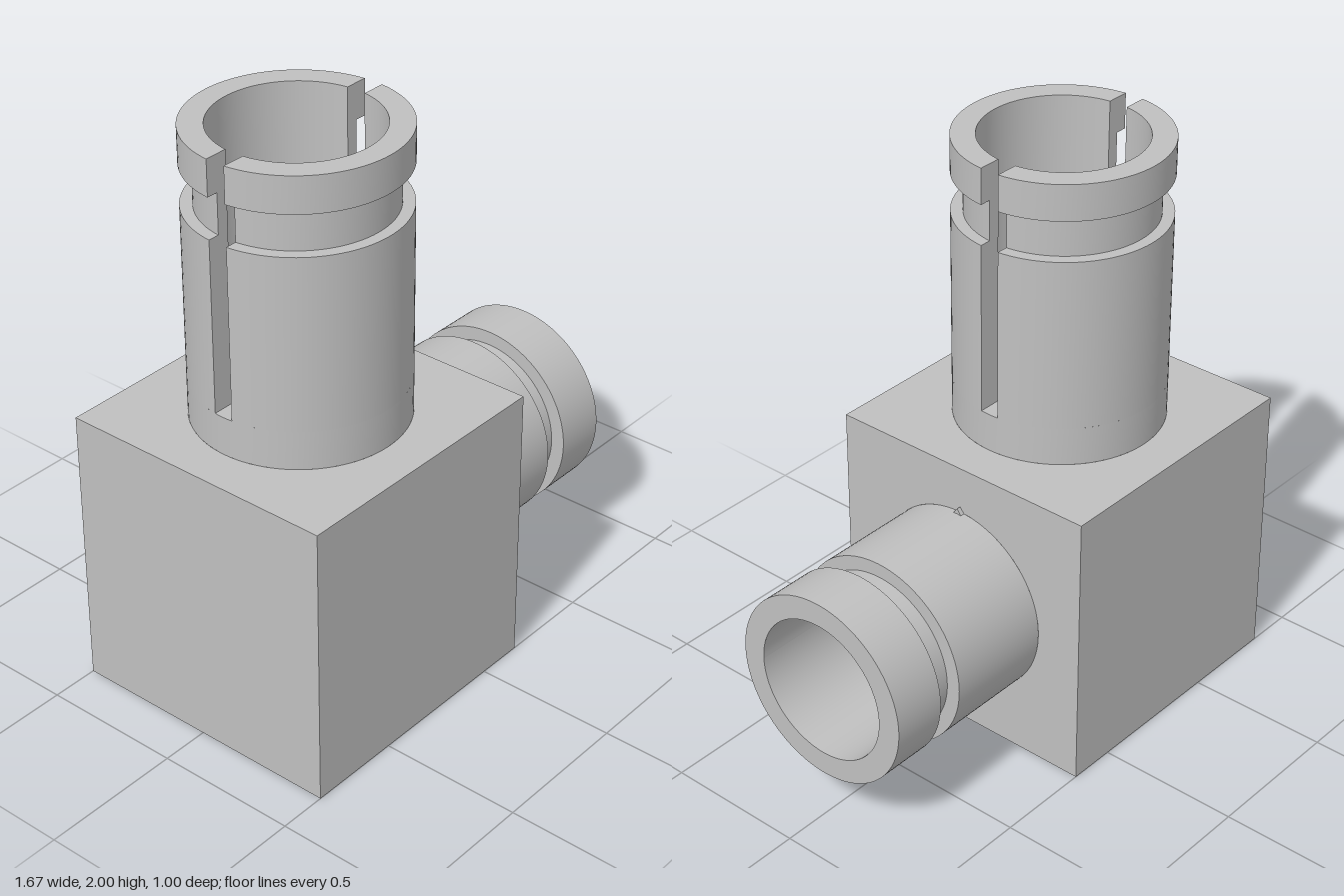
import * as THREE from 'three';
import { mergeGeometries } from 'three/addons/utils/BufferGeometryUtils.js';

const CX = -0.333;          // axis of the upright tube and centre of the block
const R = 0.356, BORE = 0.275;      // upright tube
const R2 = 0.333, BORE2 = 0.25;     // side tube
const SLOT = 0.034, SLOT_Y = 1.135; // half width and floor of the slot
const MID = 0.5, BORE_END = -0.35;  // where the two bores stop
const { PI, sqrt, sin, cos, asin, abs, max } = Math;

const steel = new THREE.MeshStandardMaterial({ color: 0xc0c0c0, side: THREE.DoubleSide });
steel.name = 'steel grey';

// Surface ruled between two curves; f(t) returns a point on each
function strip(n, f) {
  const pos = [], idx = [];
  for (let i = 0; i <= n; i++) {
    const [p, q] = f(i / n);
    pos.push(...p, ...q);
    const a = 2 * i;
    if (i < n) idx.push(a, a + 1, a + 2, a + 1, a + 3, a + 2);
  }
  const g = new THREE.BufferGeometry();
  g.setAttribute('position', new THREE.Float32BufferAttribute(pos, 3));
  g.setIndex(idx);
  g.computeVertexNormals();
  return g;
}

const polar = (r, y, a) => [r * cos(a), y, r * sin(a)];

// Turned profile of [radius, y] points with crisp edges; w cuts it to the half beyond z = w
function turned(profile, w = 0, full = true) {
  return profile.slice(1).map((q, i) => {
    const p = profile[i];
    const angle = (r, t) => full ? 2 * PI * t : asin(w / r) + t * (PI - 2 * asin(w / r));
    return strip(full ? 96 : 48, t => [polar(...p, angle(p[0], t)), polar(...q, angle(q[0], t))]);
  });
}

function part(name, geometries) {
  geometries.forEach(g => g.deleteAttribute('uv'));
  const mesh = new THREE.Mesh(mergeGeometries(geometries), steel);
  mesh.name = name;
  return mesh;
}

function squareWithHole(r) {
  const s = new THREE.Shape([[-0.5, -0.5], [0.5, -0.5], [0.5, 0.5], [-0.5, 0.5]]
    .map(p => new THREE.Vector2(...p)));
  s.holes.push(new THREE.Path().absarc(0, 0, r, 0, 2 * PI, true));
  return new THREE.ShapeGeometry(s, 96);
}

function makeBlock() {
  const faces = [
    squareWithHole(R).rotateX(-PI / 2).translate(0, 0.5, 0),
    squareWithHole(R2).rotateY(PI / 2).translate(0.5, 0, 0),
    new THREE.PlaneGeometry(1, 1).rotateX(PI / 2).translate(0, -0.5, 0),
    new THREE.PlaneGeometry(1, 1).rotateY(-PI / 2).translate(-0.5, 0, 0),
    new THREE.PlaneGeometry(1, 1).translate(0, 0, 0.5),
    new THREE.PlaneGeometry(1, 1).rotateY(PI).translate(0, 0, -0.5),
  ];
  const block = part('block', faces);
  block.position.set(CX, 0.5, 0);
  return block;
}

function makeUprightTube() {
  const g = new THREE.Group();
  g.name = 'uprightTube';
  g.position.x = CX;
  g.add(part('tubeBase', turned([[R, 1], [R, SLOT_Y]])));

  // Half collar with the snap groove, closed by flat slot walls
  const profile = [[R, SLOT_Y], [R, 1.735], [0.316, 1.735], [0.316, 1.875],
    [R, 1.875], [R, 2], [BORE, 2], [BORE, SLOT_Y]];
  const half = turned(profile, SLOT, false);
  for (const side of [-1, 1]) {
    const wall = new THREE.Shape(profile.map(([r, y]) =>
      new THREE.Vector2(side * sqrt(r * r - SLOT * SLOT), y)));
    half.push(new THREE.ShapeGeometry(wall).rotateY(PI).translate(0, 0, SLOT));
  }
  // Floor of one slot
  half.push(strip(6, t => {
    const z = SLOT * (2 * t - 1);
    return [R, BORE].map(r => [sqrt(r * r - z * z), SLOT_Y, z]);
  }));
  const front = part('frontCollarHalf', half);
  const back = front.clone();
  back.name = 'backCollarHalf';
  back.rotation.y = PI;
  g.add(front, back);

  // Bore wall, cut away where the side bore enters
  const a = asin(BORE2 / BORE);
  const boreWall = (from, to, open) => strip(96, t => {
    const angle = from + (to - from) * t, z = BORE * sin(angle);
    const low = MID + (open ? sqrt(max(0, BORE2 * BORE2 - z * z)) : 0);
    return [polar(BORE, SLOT_Y, angle), polar(BORE, low, angle)];
  });
  // Flat bore floor, notched for the side bore
  const floor = new THREE.Shape();
  floor.absarc(0, 0, BORE, a, 2 * PI - a, false);
  floor.lineTo(BORE_END - CX, -BORE2);
  floor.lineTo(BORE_END - CX, BORE2);
  g.add(part('uprightBore', [
    boreWall(-a, a, true),
    boreWall(a, 2 * PI - a, false),
    new THREE.ShapeGeometry(floor, 96).rotateX(-PI / 2).translate(0, MID, 0),
  ]));
  return g;
}

function makeSideTube() {
  // Built upright, then laid along +x
  const g = new THREE.Group();
  g.name = 'sideTube';
  g.position.y = MID;
  g.rotation.z = -PI / 2;
  g.add(part('sideSleeve', turned([[R2, 0.167], [R2, 0.553], [0.283, 0.553],
    [0.283, 0.64], [R2, 0.64], [R2, 0.833], [BORE2, 0.833]])));

  // Lower half runs to the end wall, upper half stops at the upright bore
  const boreHalf = (from, start) => strip(64, t => {
    const angle = from + PI * t;
    return [polar(BORE2, 0.833, angle), polar(BORE2, start(BORE2 * sin(angle)), angle)];
  });
  g.add(part('sideBore', [
    boreHalf(-PI / 2, () => BORE_END),
    boreHalf(PI / 2, z => CX + sqrt(BORE * BORE - z * z)),
  ]));
  return g;
}

export function createModel() {
  const model = new THREE.Group();
  model.name = 'elbowConnector';
  model.add(makeBlock(), makeUprightTube(), makeSideTube());

  // Half-round end wall of the side bore
  const endShape = new THREE.Shape().absarc(0, 0, BORE2, PI, 2 * PI, false);
  const endWall = part('boreEndWall', [new THREE.ShapeGeometry(endShape, 48).rotateY(PI / 2)]);
  endWall.position.set(BORE_END, MID, 0);
  model.add(endWall);

  // Small pointed key on top of the side tube
  const keyShape = new THREE.Shape([[-0.022, 0.825], [0.022, 0.825], [0, 0.853]]
    .map(p => new THREE.Vector2(...p)));
  const key = part('indexKey', [new THREE.ExtrudeGeometry(keyShape,
    { depth: 0.015, bevelEnabled: false }).rotateY(PI / 2)].map(k => k.toNonIndexed()));
  key.position.x = 0.167;
  model.add(key);
  return model;
}
